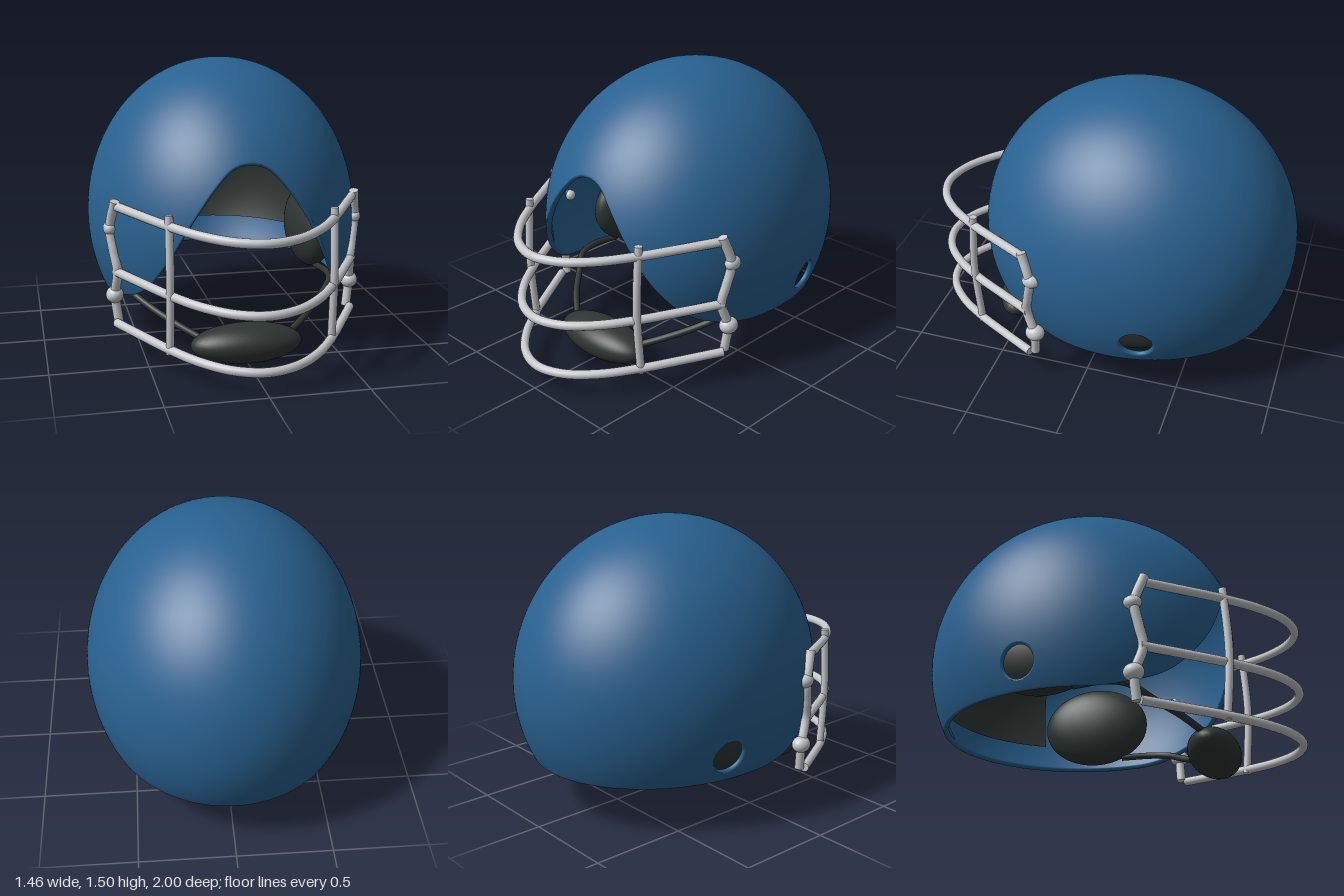
import * as THREE from 'three';
import { mergeVertices } from 'three/addons/utils/BufferGeometryUtils.js';

const C = new THREE.Vector3(0, 0.65, -0.15);      // shell centre
const R = new THREE.Vector3(0.731, 0.846, 0.85);  // shell radii
const THICK = 0.03;
const BASE = 0.274;
const EAR = { y: 0.41, z: -0.32, r: 0.095 };

const mat = (name, color, side = THREE.FrontSide) => {
  const m = new THREE.MeshStandardMaterial({ color, side });
  m.name = name;
  return m;
};

// x of the shell wall at a given height and depth
function wallX(y, z, off) {
  const v = 1 - ((y - C.y) / (R.y - off)) ** 2 - ((z - C.z) / (R.z - off)) ** 2;
  return (R.x - off) * Math.sqrt(Math.max(v, 0));
}

// Double-walled ellipsoid with a face opening, flat base, rounded rim and ear holes
function shellGeometry() {
  const cols = 160, rows = 72, rim = 8;
  // height of the edge against the angle from the front
  const edge = new THREE.CubicInterpolant(
    [0, 8.7, 16.7, 24.5, 33.4, 46.3, 64.6, 76],
    [1.052, 1.022, 0.915, 0.765, 0.575, 0.387, 0.294, BASE], 1);
  edge.settings = { endingStart: THREE.ZeroSlopeEnding, endingEnd: THREE.ZeroSlopeEnding };
  const edgeY = (deg) => (deg >= 76 ? BASE : edge.evaluate(deg)[0]);

  // profile steps: outer wall, rim, inner wall
  const steps = [];
  for (let i = 0; i <= rows; i++) steps.push([i / rows, 0, 0]);
  for (let i = 1; i < rim; i++) {
    const a = Math.PI * i / rim;
    steps.push([1, 0.014 * Math.sin(a), THICK * (1 - Math.cos(a)) / 2]);
  }
  for (let i = rows; i >= 0; i--) steps.push([i / rows, 0, THICK]);

  const pos = [], inHole = [], idx = [];
  for (const [t, extra, off] of steps) {
    for (let c = 0; c < cols; c++) {
      const phi = 2 * Math.PI * c / cols;
      const deg = 180 * Math.min(c, cols - c) * 2 / cols;
      const theta = t * Math.acos((edgeY(deg) - C.y) / R.y) + extra;
      let x = (R.x - off) * Math.sin(theta) * Math.sin(phi);
      let y = C.y + (R.y - off) * Math.cos(theta);
      let z = C.z + (R.z - off) * Math.sin(theta) * Math.cos(phi);
      const dy = y - EAR.y, dz = z - EAR.z, d = Math.hypot(dy, dz);
      const hit = d < EAR.r && Math.abs(x) > 0.3;
      if (hit) {                                   // push onto the hole's edge
        const k = EAR.r / Math.max(d, 1e-6);
        y = EAR.y + dy * k;
        z = EAR.z + dz * k;
        x = Math.sign(x) * wallX(y, z, off);
      }
      pos.push(x, y, z);
      inHole.push(hit);
    }
  }
  for (let r = 0; r < steps.length - 1; r++) {
    for (let c = 0; c < cols; c++) {
      const n = (c + 1) % cols;
      const a = r * cols + c, b = a + cols, e = r * cols + n, d = e + cols;
      if (inHole[a] && inHole[b] && inHole[e] && inHole[d]) continue;
      idx.push(a, b, d, a, d, e);
    }
  }
  let g = new THREE.BufferGeometry();
  g.setAttribute('position', new THREE.Float32BufferAttribute(pos, 3));
  g.setIndex(idx);
  g = mergeVertices(g, 1e-5);
  g.computeVertexNormals();
  return g;
}

export function createModel() {
  const group = new THREE.Group();
  group.name = 'helmet';
  const blue = mat('shellBlue', 0x296190);
  const dark = mat('paddingDark', 0x2e3533);
  const liner = mat('linerDark', 0x2e3533, THREE.DoubleSide);
  const silver = mat('cageSilver', 0xc6c8cc);

  const add = (name, geo, material) => {
    const m = new THREE.Mesh(geo, material);
    m.name = name;
    group.add(m);
    return m;
  };
  const ball = (name, p, s, material) => {
    const m = add(name, new THREE.SphereGeometry(1, 40, 28), material);
    m.position.set(...p);
    m.scale.set(...s);
  };
  // round tube through points, closed with flat ends
  const tube = (name, pts, r, material, closed = false) => {
    const v = pts.map((p) => new THREE.Vector3(...p));
    const curve = new THREE.CatmullRomCurve3(v, closed);
    add(name, new THREE.TubeGeometry(curve, 64, r, 14, closed), material);
    if (closed) return;
    for (const t of [0, 1]) {
      const cap = add(name + 'End', new THREE.CircleGeometry(r, 14), material);
      const dir = curve.getTangent(t).multiplyScalar(t ? 1 : -1);
      cap.position.copy(curve.getPoint(t));
      cap.quaternion.setFromUnitVectors(new THREE.Vector3(0, 0, 1), dir);
    }
  };

  add('shell', shellGeometry(), blue);

  // Padding at the back of the head
  const back = add('backPadding', new THREE.SphereGeometry(1, 48, 32,
    Math.PI * 1.17, Math.PI * 0.66, 0.9, 0.96), liner);
  back.position.copy(C);
  back.scale.set(R.x - 0.042, R.y - 0.042, R.z - 0.042);

  // Chin cup
  ball('chinCup', [0, 0.103, 0.525], [0.29, 0.102, 0.135], dark);

  // Face cage: three swept bars
  for (const [name, y] of [['topBar', 0.793], ['middleBar', 0.447], ['bottomBar', 0.168]]) {
    const half = [[0.634, 0.275], [0.53, 0.455], [0.41, 0.655], [0.29, 0.815], [0.15, 0.93]];
    const all = [...half, [0, 0.972], ...half.map(([x, z]) => [-x, z]).reverse()];
    tube(name, all.map(([x, z]) => [x, y - 0.072 * (z - 0.28), z]), 0.0235, silver);
  }

  for (const s of [1, -1]) {
    // Rounded lip of the ear hole
    const ring = [];
    for (let i = 0; i < 20; i++) {
      const a = i / 20 * Math.PI * 2;
      const y = EAR.y + EAR.r * Math.sin(a), z = EAR.z + EAR.r * Math.cos(a);
      ring.push([s * wallX(y, z, THICK / 2), y, z]);
    }
    tube('earHoleLip', ring, THICK / 2, blue, true);

    ball('earPad', [s * 0.54, 0.505, -0.23], [0.115, 0.228, 0.3], dark);

    tube('chinStrap', [[s * 0.24, 0.14, 0.5], [s * 0.35, 0.192, 0.41], [s * 0.45, 0.242, 0.3],
      [s * 0.54, 0.3, 0.19], [s * 0.56, 0.315, 0.08], [s * 0.545, 0.31, -0.08]], 0.018, dark);

    // Cage posts
    tube('frontPost', [[s * 0.413, 0.82, 0.65], [s * 0.413, 0.48, 0.668],
      [s * 0.413, 0.12, 0.645]], 0.021, silver);
    tube('sidePost', [[s * 0.633, 0.82, 0.295], [s * 0.655, 0.67, 0.25],
      [s * 0.64, 0.55, 0.268], [s * 0.625, 0.45, 0.285], [s * 0.635, 0.31, 0.245],
      [s * 0.62, 0.17, 0.25]], 0.025, silver);

    // Bolts holding the cage to the shell
    ball('upperBolt', [s * 0.655, 0.67, 0.24], [0.035, 0.037, 0.047], silver);
    ball('upperNut', [s * 0.62, 0.645, 0.2], [0.03, 0.03, 0.03], silver);
    ball('lowerBolt', [s * 0.637, 0.312, 0.24], [0.046, 0.044, 0.052], silver);
  }
  return group;
}
